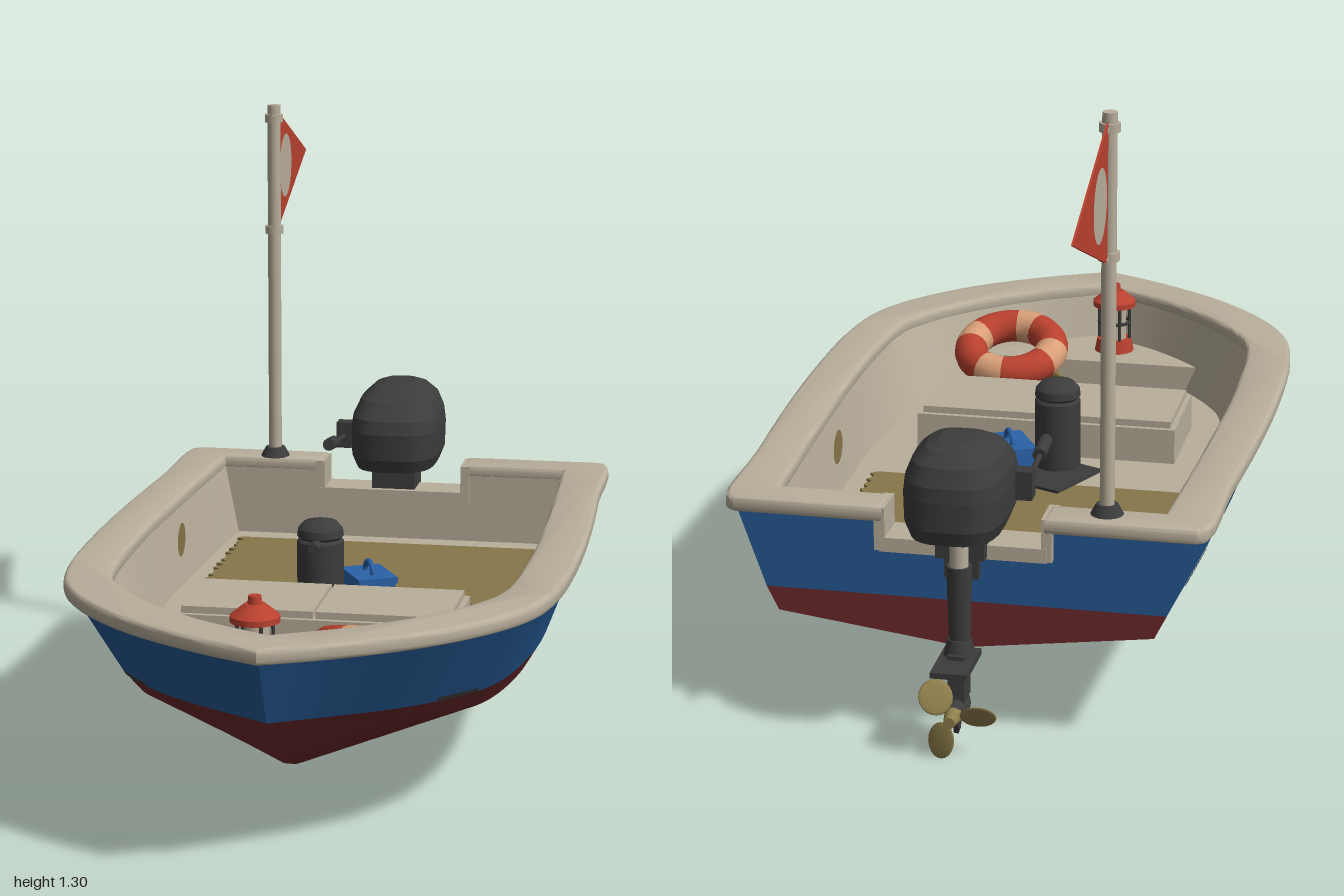
import * as THREE from 'three';
import { toCreasedNormals } from 'three/addons/utils/BufferGeometryUtils.js';

const V = (x, y, z) => new THREE.Vector3(x, y, z);
const mat = (name, color, side = THREE.FrontSide) => {
  const m = new THREE.MeshStandardMaterial({ color, side });
  m.name = name;
  return m;
};

export function createModel() {
  const cream = mat('cream', 0xb8ae9b, THREE.DoubleSide), blue = mat('hullBlue', 0x265a94);
  const maroon = mat('bottomRed', 0x6f2a2b), red = mat('signalRed', 0xb9412f, THREE.DoubleSide);
  const dark = mat('charcoal', 0x3c3c3d), straw = mat('straw', 0x87764a);
  const brass = mat('brass', 0x8f7f4c, THREE.DoubleSide), pouchBlue = mat('pouchBlue', 0x2a62a8);
  const peach = mat('peach', 0xd99f78);
  const boat = new THREE.Group();
  boat.name = 'motorboat';

  const add = (name, geo, m, x = 0, y = 0, z = 0, parent = boat) => {
    const mesh = new THREE.Mesh(geo, m);
    mesh.name = name;
    mesh.position.set(x, y, z);
    parent.add(mesh);
    return mesh;
  };
  const group = (name, x, y, z) => {
    const g = new THREE.Group();
    g.name = name;
    g.position.set(x, y, z);
    boat.add(g);
    return g;
  };
  const box = (w, h, d) => new THREE.BoxGeometry(w, h, d);
  const cyl = (rt, rb, h, n = 20) => new THREE.CylinderGeometry(rt, rb, h, n);
  const rod = (a, b, r) => new THREE.TubeGeometry(new THREE.LineCurve3(a, b), 1, r, 12);
  const poly = (pts) => new THREE.Shape(pts.map((p) => new THREE.Vector2(p[0], p[1])));
  const extrude = (pts, depth) => new THREE.ExtrudeGeometry(poly(pts), { depth, bevelEnabled: false });
  // Plan outline (x, z) extruded downwards from y = 0
  const plan = (pts, depth) => extrude(pts, depth).rotateX(Math.PI / 2);

  // Stern-to-bow line, smoothed and mirrored round to the other side
  const row = (pts, n = 36) => {
    const half = new THREE.CatmullRomCurve3(pts.map((p) => V(...p))).getPoints(n);
    return [...half, ...half.slice(0, -1).reverse().map((p) => V(-p.x, p.y, p.z))];
  };
  const loft = (a, b, closed = false) => {
    const pos = [];
    const n = closed ? a.length : a.length - 1;
    for (let i = 0; i < n; i++) {
      const j = (i + 1) % a.length;
      for (const p of [a[i], b[i], a[j], a[j], b[i], b[j]]) pos.push(p.x, p.y, p.z);
    }
    const g = new THREE.BufferGeometry();
    g.setAttribute('position', new THREE.Float32BufferAttribute(pos, 3));
    return toCreasedNormals(g, 0.6);
  };

  // Hull lines
  const sheer = row([[.47, .46, -.65], [.495, .46, -.2], [.505, .46, .2], [.465, .46, .57], [.4, .46, .68], [.285, .46, .81], [0, .46, .985]]);
  const water = row([[.41, .29, -.65], [.43, .285, -.2], [.435, .285, .2], [.385, .29, .5], [.32, .295, .62], [.215, .302, .74], [0, .312, .905]]);
  const chine = row([[.385, .24, -.65], [.4, .235, -.2], [.405, .235, .2], [.355, .24, .47], [.29, .252, .59], [.19, .27, .71], [0, .288, .885]]);
  const keel = row([[0, .19, -.65], [0, .13, -.2], [0, .1, .25], [0, .115, .52], [0, .16, .68], [0, .2, .78], [0, .28, .877]]);
  add('hullSides', loft(water, sheer), blue);
  add('hullBoot', loft(chine, water), maroon);
  add('hullBottom', loft(keel, chine), maroon);

  // Dark scuffs along the waterline
  for (const [from, to] of [[2, 5], [21, 26], [46, 51], [67, 70]]) {
    const lift = (k) => water.slice(from, to + 1).map((p, i) => {
      const q = p.clone().lerp(sheer[from + i], k);
      return V(q.x * 1.006, q.y, q.z + .002);
    });
    add('waterlineScuff', loft(lift(.01), lift(.07)), dark);
  }

  // Transom with the motor notch
  const notch = [[.165, .46], [.165, .4], [-.165, .4], [-.165, .46]];
  add('transomBottom', extrude([[0, .19], [.385, .24], [.41, .29], [-.41, .29], [-.385, .24]], .03), maroon, 0, 0, -.652);
  add('transom', extrude([[-.41, .29], [.41, .29], [.47, .46], ...notch, [-.47, .46]], .03), blue, 0, 0, -.652);
  add('transomLining', extrude([[-.375, .29], [.375, .29], [.41, .46], ...notch, [-.41, .46]], .035), cream, 0, 0, -.622);
  add('notchSill', box(.34, .03, .09), cream, 0, .405, -.625);
  for (const s of [-1, 1]) add('notchCheek', box(.022, .09, .088), cream, s * .17, .437, -.625);

  // Gunwale
  const outer = row([[.47, 0, -.672], [.49, 0, -.655], [.5, 0, -.4], [.515, 0, -.1], [.52, 0, .2], [.508, 0, .45], [.48, 0, .58], [.42, 0, .69], [.3, 0, .82], [.14, 0, .93], [0, 0, 1]], 40);
  const inner = row([[.395, .46, -.587], [.412, .46, -.2], [.42, .46, .2], [.4, .46, .5], [.365, .46, .58], [.28, .46, .69], [.15, .46, .8], [0, .46, .885]]);
  const xz = (pts) => pts.map((p) => [p.x, p.z]);
  const rimShape = poly([[.165, -.672], ...xz(outer), [-.165, -.672], [-.165, -.587], ...xz(inner).reverse(), [.165, -.587]]);
  const rim = new THREE.ExtrudeGeometry(rimShape, { depth: .015, bevelSize: .009, bevelOffset: -.009, bevelThickness: .009, bevelSegments: 3 });
  add('gunwale', toCreasedNormals(rim.rotateX(Math.PI / 2), .6), cream, 0, .476, 0);

  // Cockpit
  const F = .305;
  const floor = row([[.365, F, -.587], [.385, F, -.2], [.385, F, .2], [.34, F, .5], [.3, F, .58], [.24, F, .66], [.14, F, .76], [0, F, .85]]);
  add('innerWall', loft(inner, floor), cream);
  add('floor', plan(xz(floor), .01), cream, 0, F, 0);
  add('bowDeck', plan([[-.28, .665], [.28, .665], [.15, .775], [0, .865], [-.15, .775]], .06), cream, 0, .365, 0);
  add('bench', box(.58, .08, .245), cream, 0, .343, .297);
  for (const s of [-1, 1]) {
    add('benchLid', box(.276, .016, .222), cream, s * .141, .39, .297);
    const patch = add('wallPatch', new THREE.CircleGeometry(.038, 16), straw, s * .396, .4, -.12);
    patch.rotation.set(0, -s * Math.PI / 2, 0);
  }

  // Straw mat with ragged sides
  const ragged = [];
  for (let i = 0; i <= 40; i++) ragged.push([.34 + .008 * Math.sin(i * 2.3), -.51 + i * .0123]);
  add('strawMat', plan([...ragged, ...ragged.map((p, i) => [-p[0] - .004 * Math.sin(i * 1.7), p[1]]).reverse()], .006), straw, 0, F + .007, 0);
  add('darkMat', box(.245, .006, .17), dark, 0, F + .01, .05).rotation.y = -.42;

  // Canister
  const can = group('canister', -.045, F + .012, .09);
  const canProfile = [[0, 0], [.05, 0], [.05, .15], [.044, .156], [.05, .162], [.048, .178], [.035, .192], [.012, .198], [0, .2]];
  add('canisterBody', toCreasedNormals(new THREE.LatheGeometry(canProfile.map((p) => new THREE.Vector2(...p)), 24), .6), dark, 0, 0, 0, can);
  add('canisterSpout', cyl(.012, .012, .04, 12).rotateX(Math.PI / 2), dark, 0, .15, .06, can);

  // Pouch
  const pouch = group('pouch', .05, F + .012, .03);
  pouch.rotation.y = .5;
  add('pouchBody', box(.08, .06, .115), pouchBlue, 0, .03, 0, pouch);
  add('pouchFlap', box(.088, .014, .122), pouchBlue, 0, .062, 0, pouch);
  add('pouchHandle', new THREE.TorusGeometry(.025, .006, 8, 16, Math.PI).rotateY(Math.PI / 2), pouchBlue, 0, .068, 0, pouch);

  // Rope coil
  const ropePts = [];
  for (let i = 0; i <= 36; i++) {
    const a = i * Math.PI / 6, r = .085 + .014 * Math.sin(i * 1.1);
    ropePts.push(V(.135 + r * Math.cos(a), F + .012 + i * .0011, .55 + r * Math.sin(a)));
  }
  add('ropeCoil', new THREE.TubeGeometry(new THREE.CatmullRomCurve3(ropePts), 140, .008, 8), brass);

  // Lifebuoy leaning on the bow deck
  const buoy = group('lifebuoy', .17, .395, .628);
  buoy.rotation.x = -Math.PI / 2 - .3;
  for (let i = 0; i < 4; i++) {
    const a = i * Math.PI / 2;
    add('buoyBand', new THREE.TorusGeometry(.095, .038, 16, 14, Math.PI / 3), red, 0, 0, 0, buoy).rotation.z = a;
    add('buoyStripe', new THREE.TorusGeometry(.095, .0385, 16, 7, Math.PI / 6), peach, 0, 0, 0, buoy).rotation.z = a + Math.PI / 3;
  }

  // Lantern
  const lantern = group('lantern', -.05, .365, .765);
  add('lanternBase', cyl(.04, .046, .03), red, 0, .015, 0, lantern);
  add('lanternGlass', cyl(.028, .028, .08), cream, 0, .07, 0, lantern);
  for (let i = 0; i < 6; i++) {
    const a = i * Math.PI / 3;
    add('lanternBar', cyl(.004, .004, .085, 6), dark, .036 * Math.cos(a), .07, .036 * Math.sin(a), lantern);
  }
  add('lanternRing', new THREE.TorusGeometry(.036, .004, 6, 20).rotateX(Math.PI / 2), dark, 0, .07, 0, lantern);
  add('lanternCapRim', cyl(.05, .05, .012), red, 0, .116, 0, lantern);
  add('lanternCap', cyl(.02, .05, .024), red, 0, .134, 0, lantern);
  add('lanternKnob', cyl(.013, .015, .016, 12), red, 0, .154, 0, lantern);

  // Flagpole and pennant
  const flag = group('flagpole', -.282, 0, -.615);
  add('poleFoot', cyl(.022, .034, .022), dark, 0, .495, 0, flag);
  add('pole', cyl(.015, .015, .82), cream, 0, .895, 0, flag);
  for (const y of [1.018, 1.275]) {
    add('poleCollar', cyl(.021, .021, .018), cream, 0, y, 0, flag);
    add('flagTie', box(.006, .008, .03), cream, 0, y, -.025, flag);
  }
  add('pennant', extrude([[.028, 1.01], [.385, 1.15], [.028, 1.29]], .004).rotateY(Math.PI / 2), red, -.002, 0, 0, flag);
  for (const s of [-1, 1]) add('pennantDisc', new THREE.CircleGeometry(.07, 32).scale(1, 1.05, 1), cream, s * .004, 1.15, -.118, flag).rotation.y = s * Math.PI / 2;

  // Outboard cowl from rounded cross-sections: y, half width, front z, back z
  const rings = [[.462, .05, -.58, -.78], [.47, .09, -.54, -.815], [.5, .102, -.527, -.825], [.56, .104, -.525, -.825], [.59, .1, -.535, -.822],
    [.625, .085, -.575, -.805], [.648, .06, -.625, -.775], [.658, .035, -.66, -.745]].map(([y, w, f, b]) => {
    const pts = [];
    for (let i = 0; i < 28; i++) {
      const a = i / 28 * Math.PI * 2, c = Math.cos(a), s = Math.sin(a);
      const soft = (v) => Math.sign(v) * Math.abs(v) ** .65;
      pts.push(V(w * soft(c), y, (f + b) / 2 + (f - b) / 2 * soft(s)));
    }
    return pts;
  });
  const motor = group('outboardMotor', 0, 0, 0);
  for (let i = 0; i < rings.length - 1; i++) add('cowlBand', loft(rings[i], rings[i + 1], true), dark, 0, 0, 0, motor);
  add('cowlTop', plan(xz(rings.at(-1)), .005), dark, 0, .658, 0, motor);
  add('cowlBase', plan(xz(rings[0]), .008), dark, 0, .467, 0, motor);

  // Clamp, leg, gearcase
  add('clamp', box(.1, .08, .1), dark, 0, .435, -.645, motor);
  add('clampPlate', box(.07, .1, .018), dark, 0, .4, -.672, motor);
  add('shaft', cyl(.019, .019, .12), cream, 0, .41, -.7, motor);
  add('leg', cyl(.026, .021, .19), dark, 0, .29, -.698, motor);
  add('legFoot', box(.034, .1, .06), dark, 0, .155, -.708, motor);
  add('cavitationPlate', box(.075, .012, .14), dark, 0, .19, -.735, motor);
  add('legShoulder', cyl(.024, .034, .04), dark, 0, .21, -.7, motor);
  add('gearcase', new THREE.SphereGeometry(.024, 16, 12).scale(1, 1, 2.4), dark, 0, .09, -.72, motor);
  add('skeg', extrude([[.685, .09], [.75, .09], [.735, .038], [.715, .042]], .01).rotateY(Math.PI / 2), dark, -.005, 0, 0, motor);

  // Propeller
  const prop = group('propeller', 0, .088, -.775);
  add('propellerHub', cyl(.012, .02, .05, 14).rotateX(-Math.PI / 2), brass, 0, 0, 0, prop);
  for (const a of [172, -66, 53]) {
    const arm = new THREE.Group();
    arm.name = 'propellerBladeArm';
    arm.rotation.z = a * Math.PI / 180;
    prop.add(arm);
    add('propellerBlade', new THREE.SphereGeometry(.037, 16, 10).scale(1, .95, .12), brass, .054, 0, 0, arm).rotation.x = .6;
  }

  // Tiller
  add('tillerBlock', box(.035, .06, .035), dark, -.118, .54, -.625, motor);
  add('tillerLink', box(.05, .025, .025), dark, -.1, .53, -.625, motor);
  add('tillerArm', rod(V(-.12, .535, -.625), V(-.12, .55, -.48), .006), dark, 0, 0, 0, motor);
  add('tillerGrip', cyl(.014, .014, .07, 14).rotateX(Math.PI / 2 - .12), dark, -.12, .555, -.455, motor);
  return boat;
}
